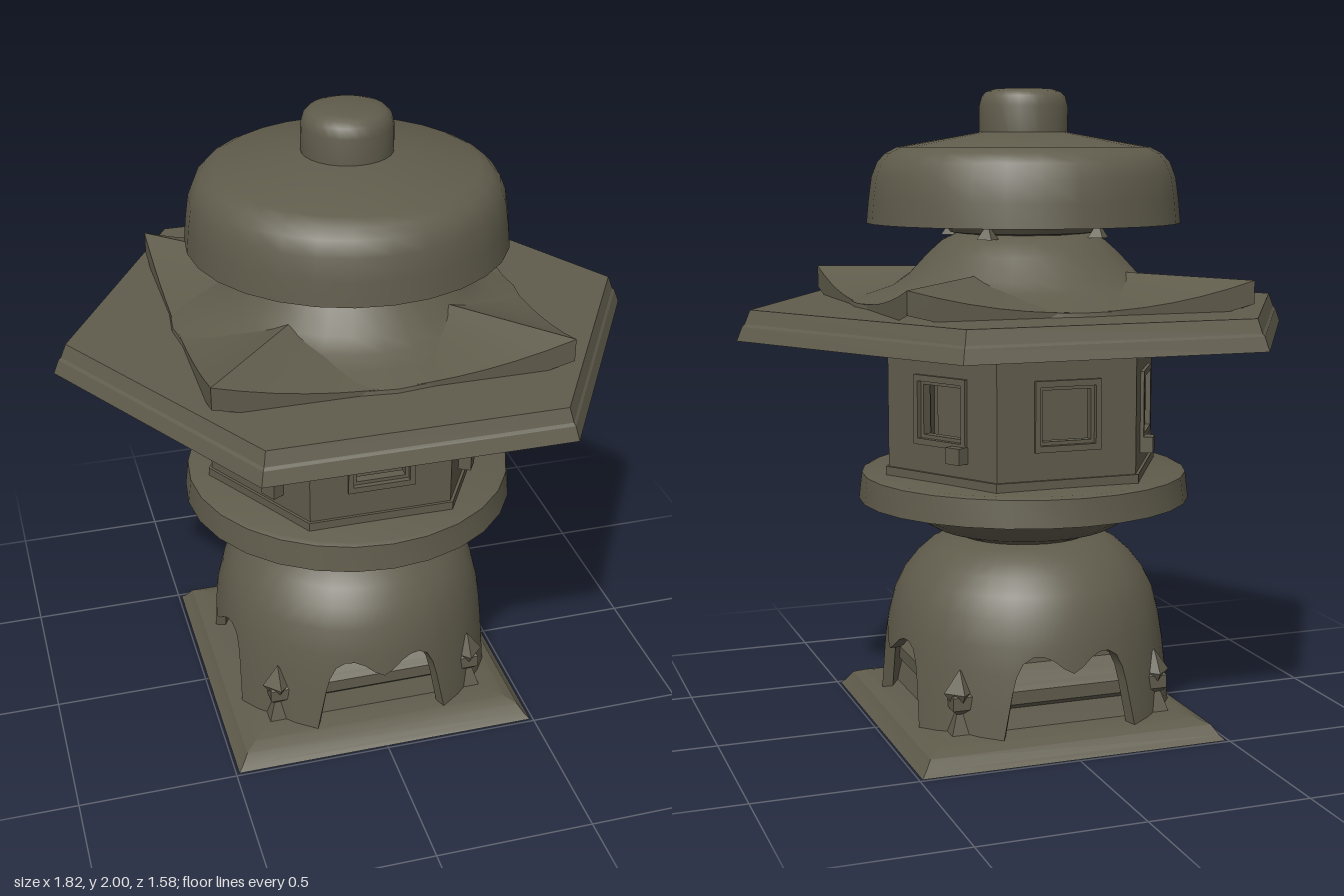
import * as THREE from 'three';
import { toCreasedNormals } from 'three/addons/utils/BufferGeometryUtils.js';

const stone = new THREE.MeshStandardMaterial({ color: 0x605c4c, side: THREE.DoubleSide });
stone.name = 'weathered stone';

function add(parent, name, geometry) {
  const mesh = new THREE.Mesh(geometry, stone);
  mesh.name = name;
  parent.add(mesh);
  return mesh;
}

// Turned part; with 6 or 4 sides the flat faces look along +z
function turned(parent, name, profile, sides = 28) {
  const few = sides < 10;
  const k = sides === 4 ? Math.SQRT2 : 1;
  const pts = profile.map(([r, y]) => new THREE.Vector2(r * k, y));
  const geo = new THREE.LatheGeometry(pts, sides, few ? Math.PI / sides : 0);
  return add(parent, name, toCreasedNormals(geo, few ? 0.3 : 0.6));
}

// Skin over closed rings of points, listed from the bottom up
function skin(rings, crease) {
  const n = rings[0].length;
  const index = [];
  for (let i = 0; i < rings.length - 1; i++) {
    for (let j = 0; j < n; j++) {
      const a = i * n + j, b = i * n + (j + 1) % n;
      index.push(a, b, b + n, a, b + n, a + n);
    }
  }
  const geo = new THREE.BufferGeometry();
  geo.setAttribute('position', new THREE.Float32BufferAttribute(rings.flat(2), 3));
  geo.setIndex(index);
  geo.computeVertexNormals();
  return toCreasedNormals(geo, crease);
}

// Linear interpolation in a list of [key, value]
function lerpTable(table, x) {
  for (let i = 1; i < table.length; i++) {
    const [x0, v0] = table[i - 1], [x1, v1] = table[i];
    if (x <= x1) return v0 + (v1 - v0) * Math.max(0, (x - x0) / (x1 - x0));
  }
  return table[table.length - 1][1];
}

// Domed foot with four cusped arches
function footShell() {
  const wall = [[0.05, 0.47], [0.15, 0.46], [0.26, 0.448], [0.34, 0.435], [0.42, 0.415],
    [0.48, 0.385], [0.53, 0.345], [0.57, 0.3], [0.595, 0.25], [0.605, 0.2]];
  const arch = [[0, 0.255], [4, 0.272], [8, 0.297], [12, 0.31], [16, 0.31], [20, 0.29],
    [22.5, 0.25], [24, 0.2], [27, 0.06], [36, 0.05], [45, 0.05]];
  const angles = [];
  for (let k = 0; k < 4; k++) {
    for (const [a] of arch.slice(1).reverse()) angles.push([k * 90 - a, a]);
    for (const [a] of arch.slice(0, -1)) angles.push([k * 90 + a, a]);
  }
  const ring = (y, inset) => angles.map(([deg, a]) => {
    const h = Math.max(y, lerpTable(arch, a));
    const r = lerpTable(wall, h) - inset, t = THREE.MathUtils.degToRad(deg);
    return [r * Math.sin(t), h, r * Math.cos(t)];
  });
  const inner = wall.slice(0, 6).reverse().map(([y]) => ring(y, 0.035));
  return skin([...inner, ...wall.map(([y]) => ring(y, 0))], 0.6);
}

// Square eave sheet with lifted corners
function eaveSheet() {
  const half = 0.535, steps = 12;
  const ring = (m, height) => {
    const pts = [];
    for (let k = 0; k < 4; k++) {
      const c = Math.cos(k * Math.PI / 2), s = Math.sin(k * Math.PI / 2);
      for (let i = 0; i < steps; i++) {
        const t = -1 + 2 * i / steps, x = t * m * half, z = m * half;
        pts.push([x * c + z * s, height(t * t), z * c - x * s]);
      }
    }
    return pts;
  };
  const rings = [ring(1, (q) => 1.335 + 0.025 * q ** 6)];
  for (const m of [1, 0.85, 0.7, 0.55, 0.4]) {
    rings.push(ring(m, (q) => 1.352 + 0.078 * q * m + 0.1 * (1 - m)));
  }
  return skin(rings, 0.6);
}

// Square frame, or a wall with a square opening
function pierced(w, y0, y1, hole, cy, depth) {
  const rect = (P, x, b, t) => new P([[-x, b], [x, b], [x, t], [-x, t]]
    .map(([px, py]) => new THREE.Vector2(px, py)));
  const shape = rect(THREE.Shape, w, y0, y1);
  shape.holes.push(rect(THREE.Path, hole, cy - hole, cy + hole));
  return new THREE.ExtrudeGeometry(shape, { depth, bevelEnabled: false });
}

export function createModel() {
  const model = new THREE.Group();
  model.name = 'stoneLantern';

  // Plinth and foot
  turned(model, 'plinth', [[0, 0], [0.49, 0], [0.475, 0.015], [0.455, 0.045], [0.42, 0.06],
    [0.37, 0.07], [0.35, 0.13], [0.365, 0.145], [0.365, 0.185], [0.35, 0.205],
    [0.3, 0.25], [0.28, 0.4]].map(([r, y]) => [y > 0.2 ? r * 0.95 : r * (y > 0.06 ? 0.96 : 1), y]), 4);
  add(model, 'archedFoot', footShell());
  for (const x of [-0.32, 0.32]) {
    for (const z of [-0.32, 0.32]) {
      const gem = new THREE.OctahedronGeometry(1).scale(0.05, 0.07, 0.05);
      add(model, 'footStud', gem).position.set(x, 0.195, z);
      const spike = new THREE.ConeGeometry(0.035, 0.05, 4);
      add(model, 'neckStud', toCreasedNormals(spike, 0.3)).position.set(x * 0.56, 1.57, z * 0.56);
    }
  }

  // Bowl and platform
  turned(model, 'bowl', [[0.2, 0.595], [0.22, 0.608], [0.29, 0.63], [0.35, 0.665],
    [0.39, 0.7], [0.41, 0.725]]);
  turned(model, 'platform', [[0, 0.722], [0.525, 0.722], [0.515, 0.805], [0.5, 0.812], [0, 0.822]]);
  turned(model, 'chamberLedge', [[0.455, 0.8], [0.455, 0.84], [0, 0.84]], 6);

  // Light chamber: six walls with framed windows
  turned(model, 'chamberCore', [[0.285, 0.84], [0.285, 1.25]], 6);
  for (let k = 0; k < 6; k++) {
    const side = new THREE.Group();
    side.name = 'chamberSide';
    side.rotation.y = k * Math.PI / 3;
    add(side, 'wall', pierced(0.2225, 0.83, 1.255, 0.088, 1.032, 0.05)).position.z = 0.335;
    add(side, 'windowFrame', pierced(0.105, 0.925, 1.139, 0.088, 1.032, 0.02)).position.z = 0.376;
    add(side, 'innerFrame', pierced(0.09, 0.942, 1.122, 0.077, 1.032, 0.03)).position.z = 0.35;
    if (k % 3) {
      // Small latch block beside the window, towards the front or back face
      const dir = k === 1 || k === 4 ? -1 : 1;
      add(side, 'latchBlock', new THREE.BoxGeometry(0.055, 0.05, 0.06))
        .position.set(dir * 0.08, 0.91, 0.395);
    }
    model.add(side);
  }

  // Hexagonal roof slab
  turned(model, 'roofSlab', [[0, 1.248], [0.91, 1.248], [0.893, 1.29], [0.885, 1.298],
    [0.868, 1.34], [0, 1.34]], 6);

  // Swept square eaves with a bell rising through them
  add(model, 'sweptEaves', eaveSheet());
  turned(model, 'roofBell', [[0.548, 1.338], [0.545, 1.352], [0.47, 1.375], [0.41, 1.395],
    [0.36, 1.43], [0.3, 1.495], [0.255, 1.535], [0.2, 1.56], [0, 1.565]]);
  turned(model, 'neck', [[0.18, 1.55], [0.23, 1.56], [0.252, 1.592]]);

  // Cap and knob
  turned(model, 'cap', [[0, 1.588], [0.49, 1.588], [0.483, 1.66], [0.473, 1.73], [0.455, 1.775],
    [0.43, 1.802], [0.395, 1.82], [0.14, 1.866], [0, 1.875]]);
  turned(model, 'knob', [[0.138, 1.85], [0.138, 1.945], [0.13, 1.975], [0.115, 1.99],
    [0.09, 1.998], [0, 2]]);

  return model;
}
